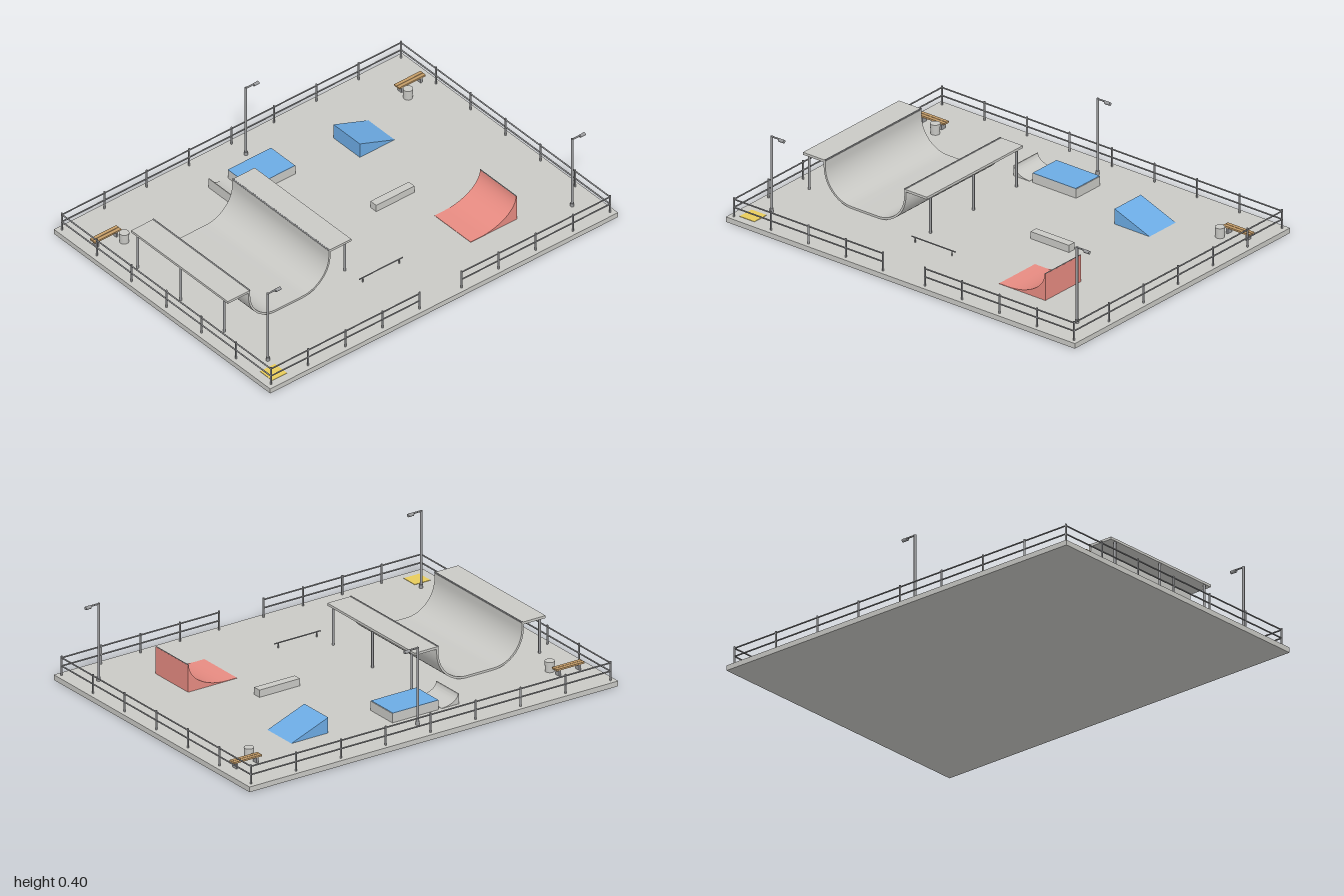
import * as THREE from 'three';
import { toCreasedNormals } from 'three/addons/utils/BufferGeometryUtils.js';

const mat = (name, color) => Object.assign(new THREE.MeshStandardMaterial({ color }), { name });

export function createModel() {
  const concrete = mat('concrete', 0xc9c9c5);
  const steel = mat('steel', 0x9a9b9d);
  const blue = mat('blue', 0x6cabe4);
  const red = mat('red', 0xf29288);
  const wood = mat('wood', 0xc49c68);
  const yellow = mat('yellow', 0xe8cc5c);
  const G = 0.025; // ground level on top of the slab
  const root = new THREE.Group();
  root.name = 'skatePark';

  const group = (name, parent = root) => {
    const g = new THREE.Group();
    g.name = name;
    parent.add(g);
    return g;
  };
  const add = (name, geo, m, parent = root) => {
    const mesh = new THREE.Mesh(geo, m);
    mesh.name = name;
    parent.add(mesh);
    return mesh;
  };
  // box given by its minimum and maximum corners
  const box = (name, a, b, m, parent) => {
    const mesh = add(name, new THREE.BoxGeometry(b[0] - a[0], b[1] - a[1], b[2] - a[2]), m, parent);
    mesh.position.set((a[0] + b[0]) / 2, (a[1] + b[1]) / 2, (a[2] + b[2]) / 2);
    return mesh;
  };
  // round bar between two points
  const bar = (name, a, b, r, m, parent) => {
    const p = new THREE.Vector3(...a), q = new THREE.Vector3(...b);
    const dir = q.clone().sub(p);
    const mesh = add(name, new THREE.CylinderGeometry(r, r, dir.length(), 12), m, parent);
    mesh.position.copy(p).add(q).multiplyScalar(0.5);
    mesh.quaternion.setFromUnitVectors(new THREE.Vector3(0, 1, 0), dir.normalize());
    return mesh;
  };
  // x-y profile extruded from z0 to z1
  const prism = (name, pts, z0, z1, m, parent) => {
    const shape = new THREE.Shape(pts.map(p => new THREE.Vector2(...p)));
    const geo = new THREE.ExtrudeGeometry(shape, { depth: z1 - z0, bevelEnabled: false });
    geo.translate(0, 0, z0);
    return add(name, toCreasedNormals(geo, 0.5), m, parent);
  };

  // Ground
  box('slab', [-1, 0, -0.75], [1, G, 0.75], concrete);
  box('yellowPatch', [-0.955, G, 0.625], [-0.87, G + 0.002, 0.71], yellow);

  // Perimeter fence, open at the front entrance
  const fence = group('fence');
  const fx = 0.975, fz = 0.725;
  const fenceRun = (x0, z0, x1, z1, n) => {
    for (const y of [0.07, 0.11]) bar('fenceRail', [x0, y, z0], [x1, y, z1], 0.0035, steel, fence);
    for (let i = 0; i <= n; i++) {
      const x = x0 + (x1 - x0) * i / n, z = z0 + (z1 - z0) * i / n;
      bar('fencePost', [x, G, z], [x, 0.118, z], 0.0045, steel, fence);
    }
  };
  fenceRun(-fx, -fz, fx, -fz, 8);
  for (const s of [-1, 1]) {
    fenceRun(s * fx, -fz, s * fx, fz, 6);
    fenceRun(s * fx, fz, s * 0.12, fz, 4);
  }

  // Half pipe: curved shell, decks, coping and legs
  const half = group('halfPipe');
  half.position.x = -0.545;
  const L = 0.335, top = 0.217;
  const trough = (w, r, yb) => {
    const pts = [[-w, top - 0.004]];
    for (let i = 0; i <= 16; i++) {
      const t = i / 16 * Math.PI / 2;
      pts.push([-w + r - r * Math.cos(t), yb + r - r * Math.sin(t)]);
    }
    return pts.concat(pts.map(([x, y]) => [-x, y]).reverse());
  };
  prism('pipeShell', [...trough(0.236, 0.16, G + 0.001), ...trough(0.226, 0.15, G + 0.011).reverse()],
    -L, L, concrete, half);
  for (const s of [-1, 1]) {
    const xs = [s * 0.228, s * 0.355].sort((a, b) => a - b);
    box('deck', [xs[0], top - 0.012, -L], [xs[1], top, L], concrete, half);
    bar('coping', [s * 0.228, top, -L], [s * 0.228, top, L], 0.0035, steel, half);
    for (const z of [-0.3, 0, 0.3]) bar('deckLeg', [s * 0.347, G, z], [s * 0.347, top - 0.01, z], 0.006, steel, half);
  }

  // Concave ramps rising towards x1, after a flat lip
  const quarter = (x0, x1, h, lip) => {
    const pts = [[x0, G], [x0, G + 0.002]];
    const start = x0 + (x1 - x0) * lip, end = x1 - Math.sign(x1 - x0) * 0.004;
    for (let i = 0; i <= 16; i++) {
      const t = i / 16 * Math.PI / 2;
      pts.push([start + (end - start) * Math.sin(t), G + 0.002 + (h - 0.002) * (1 - Math.cos(t))]);
    }
    pts.push([x1, G + h], [x1, G]);
    return pts;
  };
  const redRamp = group('redQuarterPipe');
  prism('redRamp', quarter(0.36, 0.625, 0.13, 0.2), 0.25, 0.5, red, redRamp);
  bar('redRampCoping', [0.622, 0.155, 0.25], [0.622, 0.155, 0.5], 0.0025, steel, redRamp);
  prism('smallQuarterRamp', quarter(-0.187, -0.28, 0.05, 0), -0.545, -0.378, concrete);

  // Straight wedge ramp
  prism('wedgeRamp', [[0.375, G], [0.575, G], [0.375, 0.1]], -0.47, -0.287, blue);

  // Fun box, ledge and grind rail
  const funBox = group('funBox');
  box('funBoxBase', [-0.17, G, -0.545], [0.08, 0.07, -0.378], concrete, funBox);
  box('funBoxTop', [-0.17, 0.07, -0.545], [0.077, 0.072, -0.378], blue, funBox);
  box('ledge', [0.18, G, 0.022], [0.4, 0.06, 0.062], concrete);
  const grind = group('grindRail');
  bar('railBar', [-0.21, 0.049, 0.415], [0.04, 0.049, 0.415], 0.003, steel, grind);
  for (const x of [-0.19, 0.02]) bar('railLeg', [x, G, 0.415], [x, 0.049, 0.415], 0.003, steel, grind);

  // Benches with slatted seats, and bins
  for (const s of [-1, 1]) {
    const bench = group('bench');
    bench.position.set(s * 0.875, 0, -0.543);
    for (const z of [-0.018, 0.001]) box('seatSlat', [-0.076, 0.054, z], [0.076, 0.062, z + 0.017], wood, bench);
    for (const x of [-0.06, 0.05]) box('benchLeg', [x, G, -0.014], [x + 0.01, 0.054, 0.014], steel, bench);
    const bin = add('bin', new THREE.CylinderGeometry(0.023, 0.021, 0.05, 20), concrete);
    bin.position.set(s * 0.816, G + 0.025, -0.485);
  }

  // Lamp posts with an arm towards +x
  for (const [x, z] of [[0, -0.625], [-0.875, 0.583], [0.875, 0.583]]) {
    const lamp = group('lampPost');
    lamp.position.set(x, 0, z);
    bar('lampBase', [0, G, 0], [0, G + 0.018, 0], 0.009, steel, lamp);
    bar('lampPole', [0, G, 0], [0, 0.4, 0], 0.006, steel, lamp);
    bar('lampArm', [0, 0.397, 0], [0.05, 0.397, 0], 0.004, steel, lamp);
    bar('lampHead', [0.043, 0.393, 0], [0.072, 0.393, 0], 0.008, steel, lamp);
  }
  return root;
}
